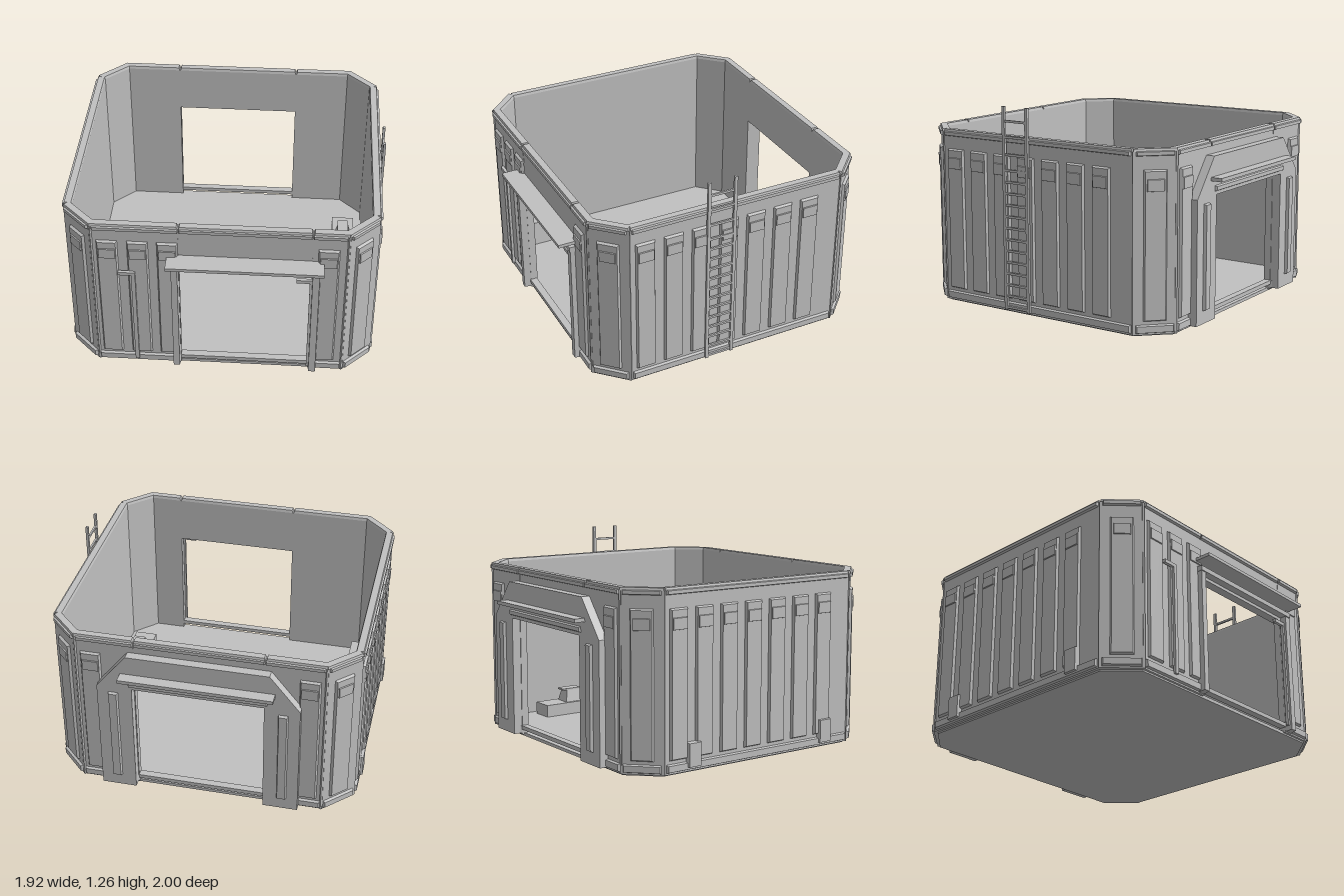
import * as THREE from 'three';

export function createModel() {
  const model = new THREE.Group();
  const grey = new THREE.MeshStandardMaterial({ color: 0xc0c0c0 });
  grey.name = 'concrete grey';
  grey.flatShading = true;

  const add = (parent, name, geometry) => {
    const mesh = new THREE.Mesh(geometry, grey);
    mesh.name = name;
    parent.add(mesh);
    return mesh;
  };
  // Box given by its minimum and maximum corners
  const box = (parent, name, x0, x1, y0, y1, z0, z1) => {
    const g = new THREE.BoxGeometry(x1 - x0, y1 - y0, z1 - z0);
    g.translate((x0 + x1) / 2, (y0 + y1) / 2, (z0 + z1) / 2);
    return add(parent, name, g);
  };
  // Box narrowing towards one face: axis 'z' bevels the front, 'y' the top
  const bevelBox = (parent, name, x0, x1, y0, y1, z0, z1, bevel, axis = 'z') => {
    const mesh = box(parent, name, x0, x1, y0, y1, z0, z1);
    const p = mesh.geometry.attributes.position;
    const cx = (x0 + x1) / 2, cy = (y0 + y1) / 2, cz = (z0 + z1) / 2;
    for (let i = 0; i < p.count; i++) {
      const x = p.getX(i), y = p.getY(i), z = p.getZ(i);
      if (axis === 'z' && z > cz) p.setXY(i, x - Math.sign(x - cx) * bevel, y - Math.sign(y - cy) * bevel);
      if (axis === 'y' && y > cy) {
        p.setX(i, x - Math.sign(x - cx) * bevel);
        p.setZ(i, z - Math.sign(z - cz) * bevel);
      }
    }
    mesh.geometry.computeVertexNormals();
    return mesh;
  };

  // Floor: a thin octagon
  const floorShape = new THREE.Shape([
    [-0.75, -0.86], [0.75, -0.86], [0.91, -0.69], [0.91, 0.69],
    [0.75, 0.86], [-0.75, 0.86], [-0.91, 0.69], [-0.91, -0.69],
  ].map(([x, z]) => new THREE.Vector2(x, z)));
  const floor = new THREE.ExtrudeGeometry(floorShape, { depth: 0.02, bevelEnabled: false });
  floor.rotateX(-Math.PI / 2);
  add(model, 'floor', floor);

  // A wall lies along its local x, with its outer face at local z = 0
  const makeWall = (name, nx, nz, px, pz, half, railHalf, panels, door, panelWidth = 0.124) => {
    const wall = new THREE.Group();
    wall.name = name;
    wall.position.set(px, 0, pz);
    wall.rotation.y = Math.atan2(nx, nz);
    model.add(wall);
    const spans = door ? [[-half, door.x0], [door.x1, half]] : [[-half, half]];
    for (const [a, b] of spans) {
      box(wall, 'wallSlab', a, b, 0.01, 1.07, -0.045, 0);
      const ra = Math.max(a, -railHalf), rb = Math.min(b, railHalf);
      bevelBox(wall, 'baseRail', ra, rb, 0.02, 0.07, 0, 0.016, 0.006);
      bevelBox(wall, 'topRail', ra, rb, 1.045, 1.075, 0, 0.016, 0.005);
      bevelBox(wall, 'topCap', a + 0.003, b - 0.003, 1.07, 1.087, -0.045, 0.006, 0.005, 'y');
    }
    if (door) {
      box(wall, 'doorHeader', door.x0, door.x1, door.top, 1.07, -0.045, -0.002);
      bevelBox(wall, 'headerRail', door.x0 + 0.004, door.x1 - 0.004, 1.045, 1.075, -0.002, 0.014, 0.005);
      bevelBox(wall, 'headerCap', door.x0 + 0.004, door.x1 - 0.004, 1.07, 1.087, -0.045, 0.006, 0.005, 'y');
      box(wall, 'doorSill', door.x0, door.x1, 0.045, 0.07, -0.04, 0.005);
    }
    for (const c of panels) {
      bevelBox(wall, 'raisedPanel', c - panelWidth / 2, c + panelWidth / 2, 0.09, 0.967, 0, 0.016, 0.008);
      bevelBox(wall, 'ventPlate', c - 0.05, c + 0.05, 0.845, 0.915, 0.016, 0.023, 0.002);
    }
    return wall;
  };

  const front = makeWall('frontWall', 0, 1, 0, 0.875, 0.76, 0.745,
    [-0.66, -0.48, -0.305, 0.64], { x0: -0.24, x1: 0.545, top: 0.79 });
  const back = makeWall('backWall', 0, -1, 0, -0.875, 0.76, 0.745,
    [-0.66, 0.66], { x0: -0.395, x1: 0.395, top: 0.77 });
  const sidePanels = [-0.6, -0.42, -0.24, -0.06, 0.12, 0.302, 0.484];
  const right = makeWall('ladderWall', 1, 0, 0.93, 0, 0.695, 0.685, sidePanels);
  const left = makeWall('plainWall', -1, 0, -0.93, 0, 0.695, 0.685, sidePanels);
  for (const sx of [-1, 1]) for (const sz of [-1, 1]) {
    makeWall('cornerWall', sx, sz, sx * 0.843, sz * 0.791, 0.13, 0.112, [0], null, 0.136);
  }

  // Front doorway: frame, header, canopy and bent pipes
  for (const [a, b] of [[-0.29, -0.24], [0.545, 0.598]]) {
    bevelBox(front, 'doorPost', a, b, 0.015, 0.8, -0.02, 0.045, 0.006);
  }
  bevelBox(front, 'doorLintel', -0.292, 0.602, 0.79, 0.832, -0.01, 0.05, 0.006);
  box(front, 'innerLintel', -0.24, 0.545, 0.77, 0.79, -0.045, 0.01);
  box(front, 'canopy', -0.308, 0.615, 0.856, 0.876, -0.02, 0.125);
  for (const x of [-0.51, 0.547]) {
    box(front, 'pipeDrop', x - 0.012, x + 0.012, 0.05, 0.745, 0.012, 0.032);
    box(front, 'pipeArm', x - 0.09, x + 0.012, 0.728, 0.75, 0.012, 0.032);
  }

  // Back doorway: chamfered portal with ribs and canopy
  const portal = new THREE.Shape([
    [-0.615, 0.02], [-0.4, 0.02], [-0.4, 0.77], [0.4, 0.77], [0.4, 0.02],
    [0.615, 0.02], [0.615, 0.77], [0.43, 1.0], [-0.43, 1.0], [-0.615, 0.77],
  ].map(([x, y]) => new THREE.Vector2(x, y)));
  const portalGeometry = new THREE.ExtrudeGeometry(portal, { depth: 0.055, bevelEnabled: false });
  add(back, 'portal', portalGeometry);
  for (const x of [-0.515, 0.515]) {
    bevelBox(back, 'portalRib', x - 0.03, x + 0.03, 0.1, 0.735, 0.055, 0.073, 0.006);
  }
  box(back, 'canopy', -0.465, 0.465, 0.858, 0.88, 0.02, 0.125);
  bevelBox(back, 'portalBeam', -0.42, 0.42, 0.79, 0.825, 0.055, 0.068, 0.006);

  // Ladder on the +x wall
  const ladder = new THREE.Group();
  ladder.name = 'ladder';
  model.add(ladder);
  for (const z of [0.035, 0.205]) box(ladder, 'ladderRail', 0.944, 0.96, 0.025, 1.262, z - 0.01, z + 0.01);
  const rungs = [0.975, 1.08, 1.175];
  for (let i = 0; i < 13; i++) rungs.push(0.04 + i * 0.07);
  for (const y of rungs) box(ladder, 'ladderRung', 0.946, 0.958, y - 0.007, y + 0.007, 0.035, 0.205);

  // Small boxes at the foot of the -x wall
  for (const x of [-0.5, 0.5]) {
    bevelBox(left, 'footBox', x - 0.047, x + 0.047, 0.035, 0.185, 0, 0.031, 0.005);
  }

  // Workbench inside, with its machines
  const bench = new THREE.Group();
  bench.name = 'workbench';
  model.add(bench);
  box(bench, 'benchTop', 0.685, 0.832, 0.02, 0.1, -0.52, 0.58);
  bevelBox(bench, 'machineBody', 0.703, 0.812, 0.1, 0.18, -0.36, -0.225, 0.018, 'y');
  box(bench, 'machineCore', 0.72, 0.79, 0.18, 0.19, -0.375, -0.24);
  box(bench, 'machineStep', 0.695, 0.8, 0.1, 0.14, -0.225, -0.175);
  bevelBox(bench, 'viseBase', 0.705, 0.805, 0.1, 0.15, -0.04, 0.1, 0.02, 'y');
  box(bench, 'viseJaw', 0.685, 0.77, 0.15, 0.19, 0.01, 0.08);
  const knob = add(bench, 'viseKnob', new THREE.CylinderGeometry(0.025, 0.025, 0.05, 8));
  knob.position.set(0.75, 0.2, 0.03);
  const handle = add(bench, 'viseHandle', new THREE.CylinderGeometry(0.008, 0.008, 0.1, 6));
  handle.rotation.set(Math.PI / 2, 0, 0.5);
  handle.position.set(0.675, 0.17, 0.12);
  bevelBox(bench, 'cabinet', 0.703, 0.812, 0.1, 0.18, 0.29, 0.435, 0.015, 'y');
  for (const z of [0.205, 0.25]) {
    box(bench, 'benchKey', 0.735, 0.78, 0.1, 0.115, z - 0.014, z + 0.014);
    for (const x of [0.695, 0.815]) box(bench, 'benchClip', x - 0.01, x + 0.01, 0.1, 0.12, z - 0.018, z + 0.018);
  }

  // Crate in the opposite corner
  bevelBox(model, 'crate', -0.85, -0.69, 0.02, 0.18, 0.475, 0.705, 0.018, 'y');

  return model;
}
